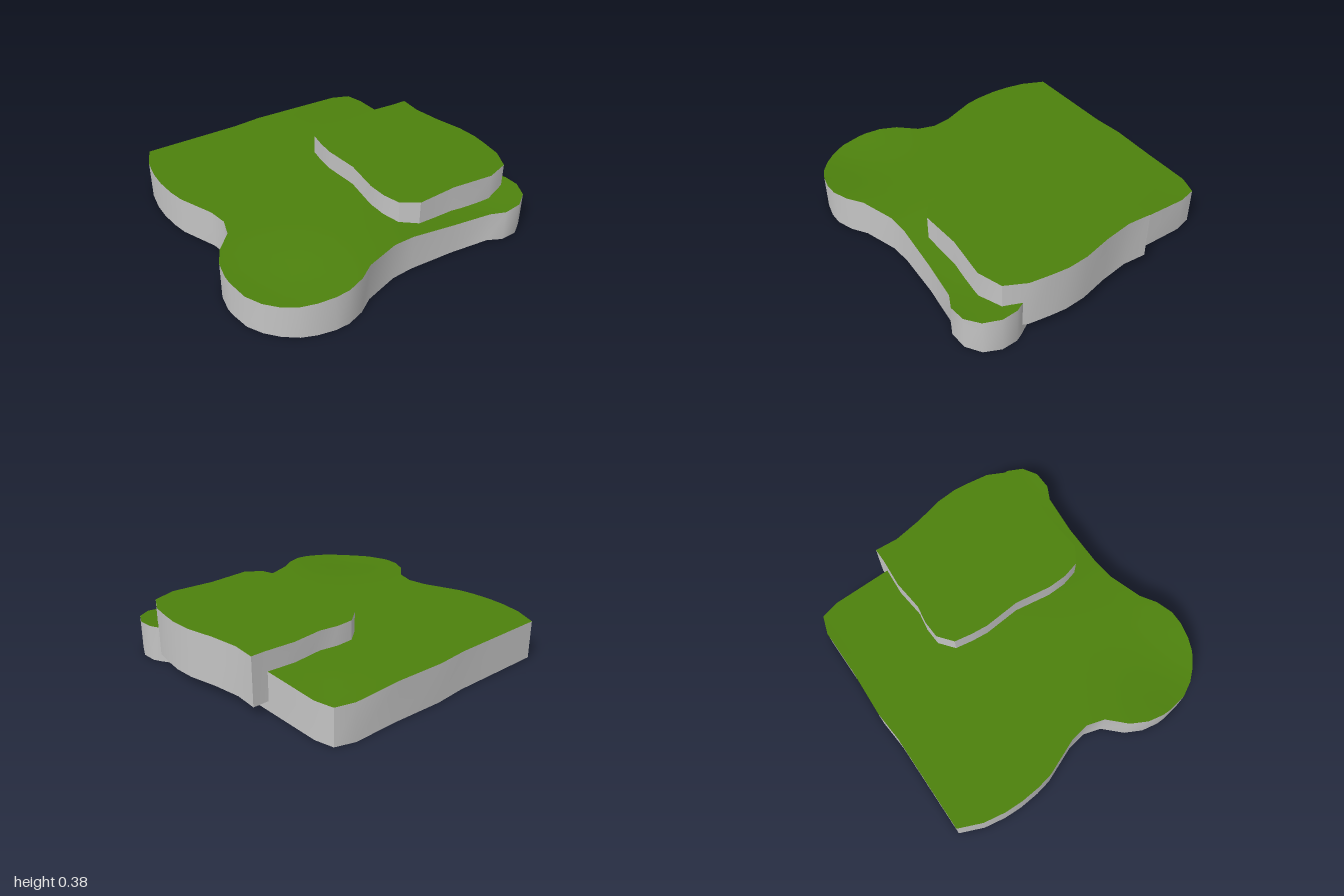
import * as THREE from 'three';
import { toCreasedNormals } from 'three/addons/utils/BufferGeometryUtils.js';

const grass = new THREE.MeshStandardMaterial({ color: 0x4d810d });
grass.name = 'grass green';
const stone = new THREE.MeshStandardMaterial({ color: 0xc4c4c4 });
stone.name = 'stone grey';

// Outlines as [x, z], clockwise from above, starting at the back left.
const groundOutline = [
  [-0.83, -0.96], [-0.5, -0.955], [-0.18, -0.95], [0.03, -0.965], [0.35, -0.95], [0.67, -0.95],
  [0.79, -0.91], [0.82, -0.79], [0.82, -0.4], [0.82, -0.1], [0.83, 0.1], [0.86, 0.3], [0.91, 0.47],
  [0.96, 0.55], [0.985, 0.6], [0.99, 0.7], [0.945, 0.8], [0.855, 0.86], [0.74, 0.865], [0.65, 0.82],
  [0.38, 0.79], [0.08, 0.775], [-0.065, 0.785], [-0.29, 0.855], [-0.39, 0.92], [-0.5, 0.957],
  [-0.59, 0.957], [-0.695, 0.935], [-0.78, 0.9], [-0.865, 0.835], [-0.93, 0.76], [-0.98, 0.665],
  [-1, 0.535], [-1, 0.48], [-0.98, 0.375], [-0.925, 0.27], [-0.815, 0.16], [-0.78, 0.045],
  [-0.8, -0.08], [-0.895, -0.315], [-0.915, -0.42], [-0.925, -0.55], [-0.92, -0.67], [-0.895, -0.81],
];
const plateauOutline = [
  [0.2, -0.405], [0.315, -0.41], [0.435, -0.39], [0.635, -0.41], [0.835, -0.395], [0.925, -0.395],
  [0.915, -0.24], [0.945, -0.05], [0.99, 0.135], [1, 0.27], [0.99, 0.375], [0.97, 0.515],
  [0.905, 0.645], [0.75, 0.695], [0.47, 0.665], [0.2, 0.68], [0.095, 0.61], [0.065, 0.5],
  [0.06, 0.375], [0.095, 0.135], [0.075, -0.105], [0.085, -0.215], [0.105, -0.33],
];

// Gentle hollows in the lawn: [x, z, depth, spread].
const hollows = [[-0.85, 0.75, 0.043, 0.24], [0.57, 0.8, 0.055, 0.3], [0.82, -0.88, 0.015, 0.2]];
const groundHeight = (x, z) => hollows.reduce((y, [hx, hz, depth, s]) =>
  y - depth * Math.exp(-((x - hx) ** 2 + (z - hz) ** 2) / (2 * s * s)), 0.258);

function geometryFrom(positions, index) {
  const g = new THREE.BufferGeometry();
  g.setAttribute('position', new THREE.Float32BufferAttribute(positions, 3));
  g.setIndex(index);
  g.computeVertexNormals();
  return g;
}

// Cap made of rings that shrink the outline toward its centre.
function cap(outline, [cx, cz], height, rings, up) {
  const n = outline.length, pos = [cx, height(cx, cz), cz], index = [];
  const tri = (a, b, c) => (up ? index.push(a, c, b) : index.push(a, b, c));
  for (let r = 1; r <= rings; r++) {
    for (let i = 0; i < n; i++) {
      const t = r / rings;
      const x = cx + (outline[i][0] - cx) * t, z = cz + (outline[i][1] - cz) * t;
      pos.push(x, height(x, z), z);
      const j = (i + 1) % n, o = 1 + (r - 1) * n;
      if (r === 1) tri(0, o + i, o + j);
      else {
        tri(o - n + i, o + i, o + j);
        tri(o - n + i, o + j, o - n + j);
      }
    }
  }
  return geometryFrom(pos, index);
}

// Vertical wall from the flat underside up to the top surface.
function wall(outline, top, bottom) {
  const n = outline.length, pos = [], index = [];
  outline.forEach(([x, z], i) => {
    pos.push(x, bottom, z, x, top(x, z), z);
    const a = 2 * i, b = 2 * ((i + 1) % n);
    index.push(b, a, a + 1, b, a + 1, b + 1);
  });
  return toCreasedNormals(geometryFrom(pos, index), 0.6);
}

function slab(name, outline, centre, top, bottom, rings) {
  const group = new THREE.Group();
  group.name = name;
  const add = (part, geometry, material) => {
    const mesh = new THREE.Mesh(geometry, material);
    mesh.name = name + part;
    group.add(mesh);
  };
  add('Top', cap(outline, centre, top, rings, true), grass);
  add('Wall', wall(outline, top, bottom), stone);
  add('Underside', cap(outline, centre, () => bottom, 1, false), stone);
  return group;
}

export function createModel() {
  const model = new THREE.Group();
  model.name = 'terrain';
  model.add(slab('ground', groundOutline, [0, 0], groundHeight, 0.005, 10));
  // Raised plateau that overhangs the right edge of the ground
  model.add(slab('plateau', plateauOutline, [0.53, 0.14], () => 0.385, 0.07, 1));
  return model;
}
